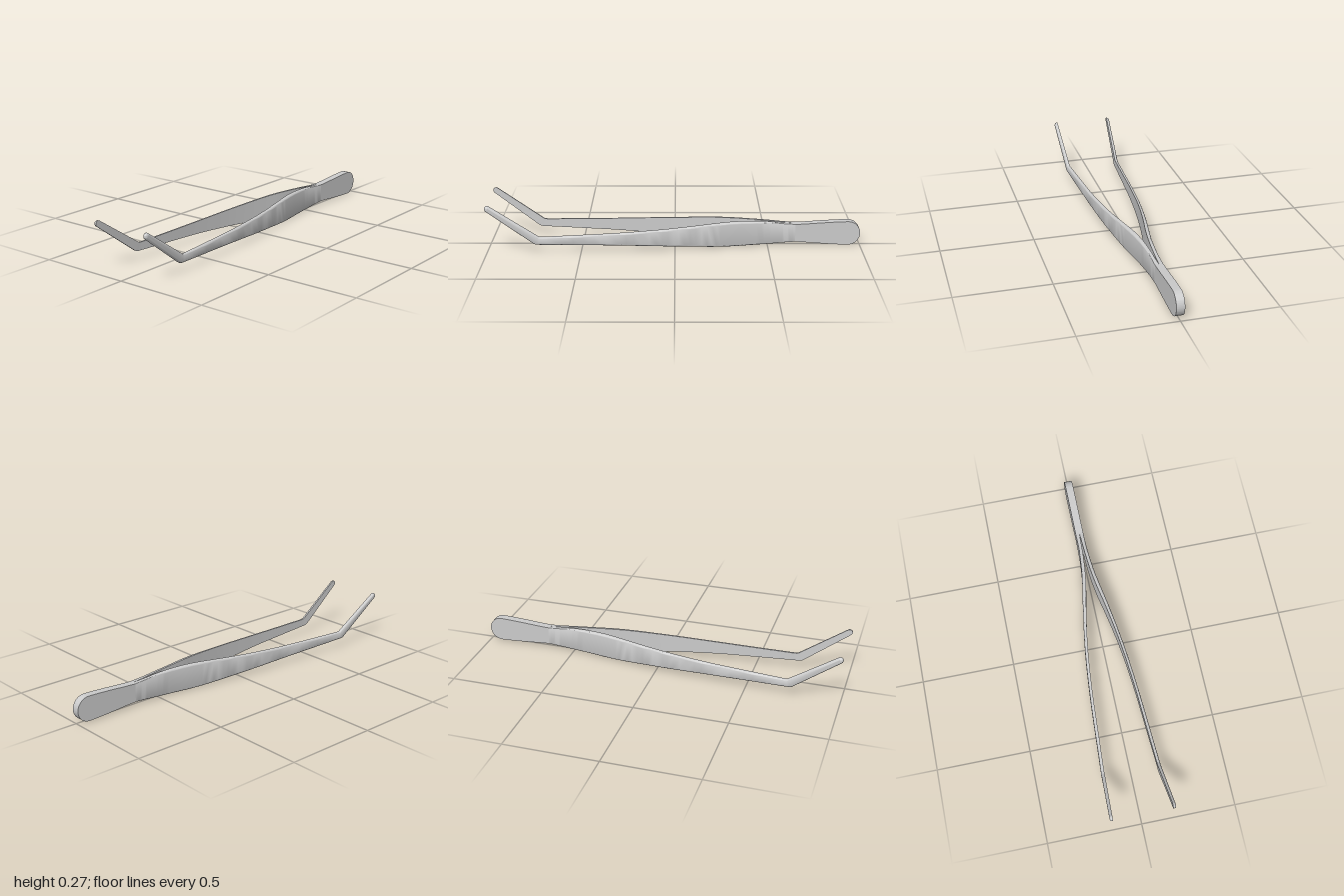
import * as THREE from 'three';
import { toCreasedNormals } from 'three/addons/utils/BufferGeometryUtils.js';

const material = new THREE.MeshStandardMaterial({ color: 0xcccccc });

// Arm stations from the join to the bend: z, top y, bottom y, inner x, outer x
const ARM = [
  [-0.65, 0.121, 0.022, 0, 0.0215],
  [-0.58, 0.126, 0.016, 0.003, 0.0225],
  [-0.5, 0.134, 0.009, 0.007, 0.026],
  [-0.4, 0.139, 0.004, 0.016, 0.036],
  [-0.3, 0.14, 0.003, 0.031, 0.052],
  [-0.2, 0.136, 0.007, 0.051, 0.07],
  [-0.05, 0.126, 0.018, 0.077, 0.094],
  [0.1, 0.117, 0.027, 0.097, 0.113],
  [0.3, 0.107, 0.038, 0.115, 0.131],
  [0.5, 0.1, 0.045, 0.127, 0.144],
  [0.7, 0.094, 0.051, 0.139, 0.156],
];

// Sections along one arm, each with its own top and bottom point so it can tilt at the bend
function armSections() {
  const heights = new THREE.CatmullRomCurve3(ARM.map((s) => new THREE.Vector3(s[0], s[1], s[2])), false, 'catmullrom');
  const widths = new THREE.CatmullRomCurve3(ARM.map((s) => new THREE.Vector3(s[0], s[3], s[4])), false, 'catmullrom');
  const sections = [];
  const steps = 50;
  for (let i = 0; i <= steps; i++) {
    const h = heights.getPoint(i / steps);
    const w = widths.getPoint(i / steps);
    const r = 0.011 * Math.min(1, i / 15);
    sections.push({ tz: h.x, ty: h.y, bz: h.x, by: h.z, xi: w.y, xo: w.z, r });
  }
  // Bend
  for (const [tz, ty, bz, by] of [
    [0.715, 0.0943, 0.728, 0.052],
    [0.722, 0.096, 0.741, 0.0535],
    [0.728, 0.0995, 0.753, 0.06],
  ]) sections.push({ tz, ty, bz, by, xi: 0.14, xo: 0.1575, r: 0.011 });
  // Raised tip with a rounded end
  const half = 0.016;
  for (let i = 0; i <= 8; i++) {
    const a = (i / 8) * Math.PI * 0.49;
    const z = 0.984 + 0.81 * half * Math.sin(a);
    const y = 0.255 + 0.586 * half * Math.sin(a);
    const h = half * Math.cos(a);
    sections.push({
      tz: z - 0.586 * h, ty: y + 0.81 * h, bz: z + 0.586 * h, by: y - 0.81 * h,
      xi: 0.154, xo: 0.17 - 0.008 * (1 - Math.cos(a)), r: 0.011,
    });
  }
  return sections;
}

// Cross-section: flat inner face with sharp edges, outer edges rounded
function sectionRing({ tz, ty, bz, by, xi, xo, r }, side) {
  const height = Math.hypot(tz - bz, ty - by);
  const ry = Math.min(r, height * 0.49);
  const rx = Math.min(r, (xo - xi) * 0.8);
  const ring = [];
  const add = (x, down) => {
    const t = down / height;
    ring.push([side * x, THREE.MathUtils.lerp(ty, by, t), THREE.MathUtils.lerp(tz, bz, t)]);
  };
  add(xi, 0);
  const n = 5;
  for (let i = 0; i <= n; i++) {
    const a = (i / n) * Math.PI / 2;
    add(xo - rx + rx * Math.sin(a), ry - ry * Math.cos(a));
  }
  for (let i = 0; i <= n; i++) {
    const a = (i / n) * Math.PI / 2;
    add(xo - rx + rx * Math.cos(a), height - ry + ry * Math.sin(a));
  }
  add(xi, height);
  return ring;
}

function armGeometry(side) {
  const rings = armSections().map((s) => sectionRing(s, side));
  const n = rings[0].length;
  const index = [];
  const tri = (a, b, c) => index.push(...(side > 0 ? [a, b, c] : [a, c, b]));
  for (let i = 0; i < rings.length - 1; i++) {
    for (let j = 0; j < n; j++) {
      const a = i * n + j;
      const b = i * n + ((j + 1) % n);
      tri(a, a + n, b);
      tri(b, a + n, b + n);
    }
  }
  // End caps
  const last = (rings.length - 1) * n;
  for (let j = 1; j < n - 1; j++) {
    tri(0, j, j + 1);
    tri(last, last + j + 1, last + j);
  }
  const geometry = new THREE.BufferGeometry();
  geometry.setAttribute('position', new THREE.Float32BufferAttribute(rings.flat(2), 3));
  geometry.setIndex(index);
  return toCreasedNormals(geometry, 0.6);
}

// Flat handle with a rounded back end, drawn in the z-y plane
function handleGeometry() {
  const shape = new THREE.Shape();
  shape.moveTo(-0.65, 0.022);
  shape.bezierCurveTo(-0.72, 0.019, -0.83, 0.007, -0.934, 0.005);
  shape.absarc(-0.934, 0.071, 0.066, -Math.PI / 2, Math.PI / 2, true);
  shape.bezierCurveTo(-0.83, 0.135, -0.72, 0.123, -0.65, 0.121);
  shape.closePath();
  const geometry = new THREE.ExtrudeGeometry(shape, { depth: 0.043, bevelEnabled: false, curveSegments: 24 });
  geometry.translate(0, 0, -0.0215);
  geometry.rotateY(-Math.PI / 2);
  return toCreasedNormals(geometry, 0.6);
}

export function createModel() {
  const group = new THREE.Group();
  group.name = 'tweezers';
  const add = (name, geometry) => {
    const mesh = new THREE.Mesh(geometry, material);
    mesh.name = name;
    group.add(mesh);
  };
  add('handle', handleGeometry());
  add('leftArm', armGeometry(1));
  add('rightArm', armGeometry(-1));
  return group;
}
